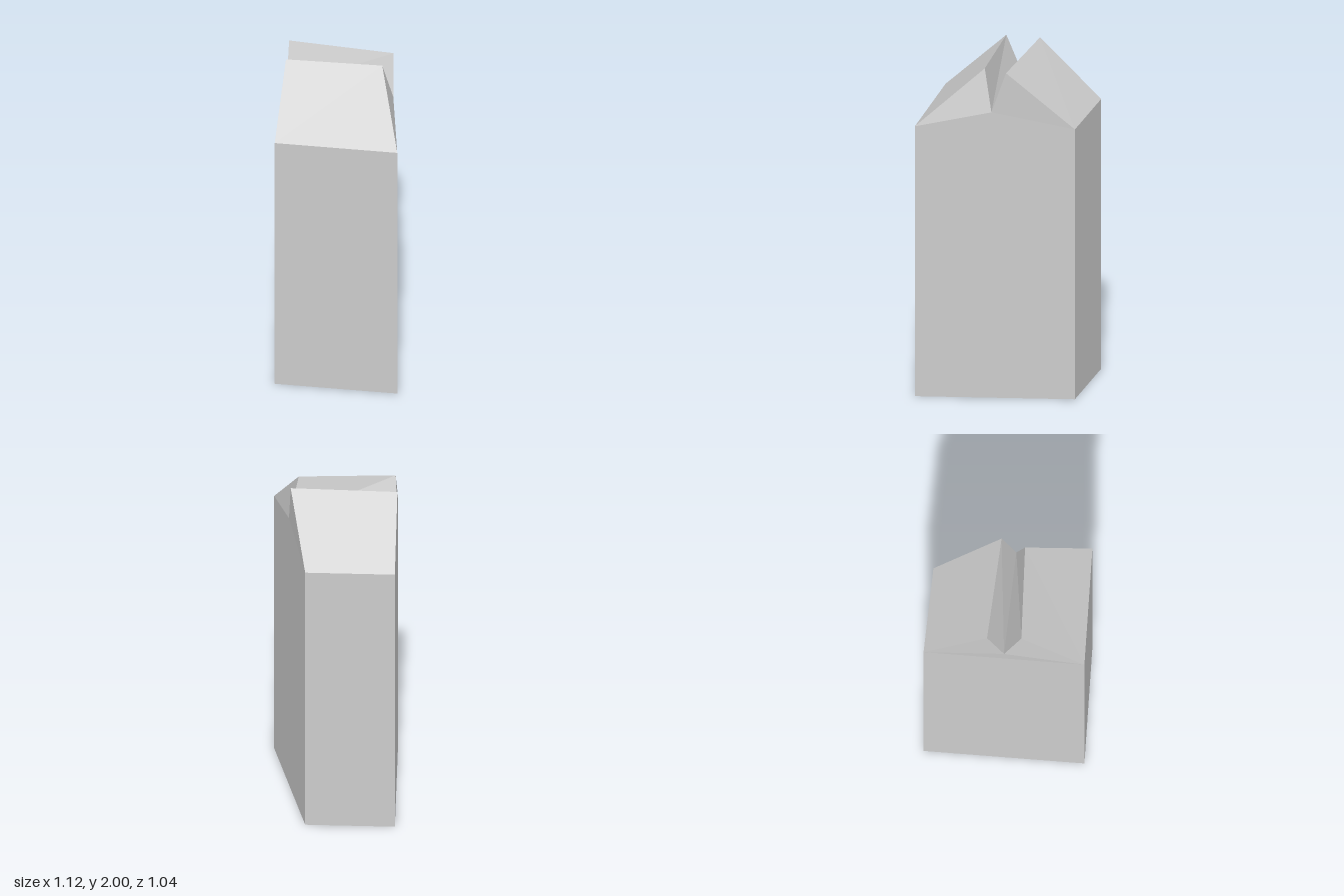
import * as THREE from 'three';

export function createModel() {
  const group = new THREE.Group();
  group.name = 'gabledCarton';
  const material = new THREE.MeshStandardMaterial({ color: 0xcccccc, flatShading: true });

  // Builds a flat-shaded mesh from a list of triangles
  const addMesh = (name, triangles) => {
    const geometry = new THREE.BufferGeometry();
    geometry.setAttribute('position', new THREE.Float32BufferAttribute(triangles.flat(2), 3));
    geometry.computeVertexNormals();
    const mesh = new THREE.Mesh(geometry, material);
    mesh.name = name;
    group.add(mesh);
  };
  const quad = (a, b, c, d) => [[a, b, d], [b, c, d]];

  // Skewed footprint, counter-clockwise seen from above: left, front, right, back
  const EAVES = 1.66, RIDGE = 2, VALLEY = 1.755;
  const footprint = [[-0.56, -0.22], [0, 0.52], [0.56, 0.08], [-0.14, -0.52]];
  const ring = (y) => footprint.map(([x, z]) => [x, y, z]);
  const low = ring(0), high = ring(EAVES);

  // Upright walls and floor
  const walls = [];
  for (let i = 0; i < 4; i++) {
    const j = (i + 1) % 4;
    walls.push(...quad(low[i], low[j], high[j], high[i]));
  }
  addMesh('walls', walls);
  addMesh('floor', quad(low[3], low[2], low[1], low[0]));

  // Roof lines from back eave to front eave, as [left end, right end]
  const [left, front, right, back] = high;
  const lines = [
    [left, back],
    [[-0.345, RIDGE, 0.077], [0.165, RIDGE, -0.267]],
    [[-0.285, VALLEY, 0.155], [0.225, VALLEY, -0.207]],
    [[-0.215, RIDGE, 0.226], [0.214, RIDGE, -0.13]],
    [front, right],
  ];

  // Two slopes with a V-shaped groove between them
  ['backSlope', 'grooveBack', 'grooveFront', 'frontSlope'].forEach((name, i) => {
    const [a, d] = lines[i], [b, c] = lines[i + 1];
    addMesh(name, quad(a, b, c, d));
  });

  // Notched gables: a low triangle to the valley and a peak at each side of it
  const gable = (a, b, peakA, notch, peakB) => [[a, b, notch], [a, notch, peakA], [b, peakB, notch]];
  const [, back1, valley, front1] = lines;
  addMesh('leftGable', gable(left, front, back1[0], valley[0], front1[0]));
  addMesh('rightGable', gable(right, back, front1[1], valley[1], back1[1]));

  return group;
}
